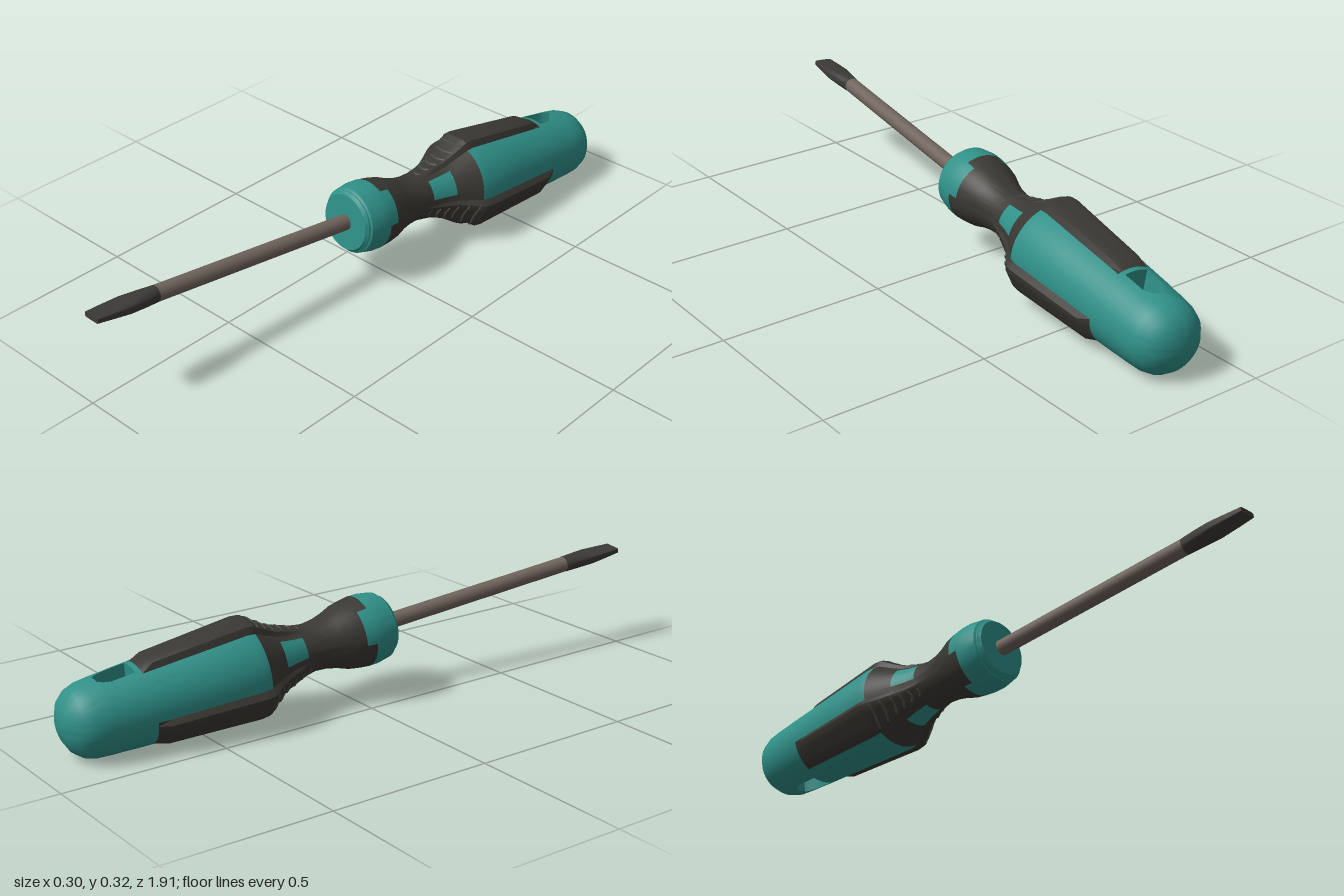
import * as THREE from 'three';
import { toCreasedNormals } from 'three/addons/utils/BufferGeometryUtils.js';

const COLS = 60; // handle columns, 6 degrees each; grip pads sit at columns 0, 20 and 40
const STEP = (Math.PI * 2) / COLS;

const teal = new THREE.MeshStandardMaterial({ color: 0x2f9088 });
const rubber = new THREE.MeshStandardMaterial({ color: 0x3a3833 });
const ribGrey = new THREE.MeshStandardMaterial({ color: 0x4a4943 });
const steel = new THREE.MeshStandardMaterial({ color: 0x70645d });
const darkSteel = new THREE.MeshStandardMaterial({ color: 0x3c3a38 });
const tealInside = new THREE.MeshStandardMaterial({ color: 0x2f9088, side: THREE.DoubleSide });

// Linear lookup in a list of [s, value] pairs running from front to back
function lookup(table, s) {
  if (s >= table[0][0]) return table[0][1];
  for (let i = 1; i < table.length; i++) {
    const [s0, v0] = table[i - 1], [s1, v1] = table[i];
    if (s >= s1) return v0 + ((v1 - v0) * (s - s0)) / (s1 - s0);
  }
  return table[table.length - 1][1];
}

// Skin closed rings of points (front to back), keeping the cells that pass the test
function skin(rings, keep = () => true, crease = 0.5) {
  const pos = [];
  for (let i = 0; i < rings.length - 1; i++) {
    const n = rings[i].length;
    for (let j = 0; j < n; j++) {
      if (!keep(i, j)) continue;
      const k = (j + 1) % n;
      const a = rings[i][j], b = rings[i][k], c = rings[i + 1][k], d = rings[i + 1][j];
      for (const p of [a, d, c, a, c, b]) pos.push(p.x, p.y, p.z);
    }
  }
  const g = new THREE.BufferGeometry();
  g.setAttribute('position', new THREE.Float32BufferAttribute(pos, 3));
  return toCreasedNormals(g, crease);
}

function add(parent, name, geometry, material) {
  const mesh = new THREE.Mesh(geometry, material);
  mesh.name = name;
  parent.add(mesh);
  return mesh;
}

// Handle profile: [position along axis, radius]
const PROFILE = [
  [0.118, 0], [0.118, 0.086], [0.108, 0.093], [0.104, 0.093], [0.1, 0.1], [0.06, 0.107], [0.032, 0.107], [0, 0.103],
  [-0.03, 0.097], [-0.065, 0.084], [-0.1, 0.075], [-0.14, 0.071], [-0.18, 0.074], [-0.22, 0.082],
  [-0.26, 0.094], [-0.3, 0.115], [-0.335, 0.135], [-0.36, 0.139], [-0.5, 0.13], [-0.645, 0.121],
  [-0.68, 0.119], [-0.695, 0.118], [-0.73, 0.116], [-0.765, 0.113], [-0.785, 0.112], [-0.8, 0.111],
  [-0.84, 0.107], [-0.87, 0.097], [-0.895, 0.076], [-0.911, 0.045], [-0.918, 0],
];
// Height of the flat pad faces above the axis
const PAD = [[-0.14, 0], [-0.18, 0.075], [-0.26, 0.102], [-0.3, 0.126], [-0.34, 0.154], [-0.645, 0.132], [-0.68, 0.11]];
const PAD_WEIGHT = [1, 1, 1, 0.75, 0];
// Hanging hole: half-width factor at each station, rounded at the back
const HOLE = [[-0.695, 1], [-0.765, 1], [-0.785, 0.82], [-0.8, 0.45]];
const HOLE_COLS = 3;

// Signed column offset from the nearest multiple of `period`
const offset = (j, period) => j - Math.round(j / period) * period;
const inHole = (s) => s <= -0.69 && s >= -0.801;

// Radius of the three-lobed handle at a station and angle in columns
function radiusAt(s, col) {
  const base = lookup(PROFILE, s);
  if (s > -0.14 || s < -0.68) return base;
  const a = Math.abs(offset(col, 20));
  if (a >= 4) return base;
  const i = Math.floor(a);
  const w = PAD_WEIGHT[i] + (PAD_WEIGHT[i + 1] - PAD_WEIGHT[i]) * (a - i);
  return base + w * Math.max(0, lookup(PAD, s) / Math.cos(a * STEP) - base);
}

function pointAt(s, col, r = radiusAt(s, col)) {
  const t = Math.PI / 2 + col * STEP;
  return new THREE.Vector3(r * Math.cos(t), r * Math.sin(t), s);
}

function buildHandle() {
  const handle = new THREE.Group();
  handle.name = 'handle';
  const stations = PROFILE.map((p) => p[0]);
  const rings = PROFILE.map(([s, r], i) => Array.from({ length: COLS }, (_, j) => {
    // columns beside the hole slide inward to round its rear end
    const h = offset(j, 30);
    const col = inHole(s) && Math.abs(h) <= HOLE_COLS ? j - h + h * lookup(HOLE, s) : j;
    return pointAt(s, col, i < 2 ? r : radiusAt(s, col));
  }));

  const isHole = (i, j) => inHole(stations[i]) && inHole(stations[i + 1]) && Math.abs(offset(j + 0.5, 30)) < HOLE_COLS;
  // Rubber covers the neck, the ring and the three pads
  const isRubber = (i, j) => {
    const s = (stations[i] + stations[i + 1]) / 2;
    const a = Math.abs(offset(j + 0.5, 20));
    if (s > 0.032 || s < -0.68) return false;
    if (s > 0) return a < 5;
    if (s < -0.335) return a < 4;
    return !(s < -0.18 && s > -0.26 && a > 6);
  };
  add(handle, 'handleBody', skin(rings, (i, j) => !isHole(i, j) && !isRubber(i, j)), teal);
  add(handle, 'rubberGrip', skin(rings, isRubber), rubber);

  // Walls of the hanging hole, from the upper rim to the lower rim
  const first = stations.findIndex(inHole);
  const last = stations.length - 1 - [...stations].reverse().findIndex(inHole);
  const rim = [];
  for (let c = -HOLE_COLS; c < HOLE_COLS; c++) rim.push([first, c]);
  for (let i = first; i < last; i++) rim.push([i, HOLE_COLS]);
  for (let c = HOLE_COLS; c > -HOLE_COLS; c--) rim.push([last, c]);
  for (let i = last; i > first; i--) rim.push([i, -HOLE_COLS]);
  const upper = rim.map(([i, c]) => rings[i][(c + COLS) % COLS]);
  const lower = rim.map(([i, c]) => rings[i][30 - c]);
  add(handle, 'hangingHoleWall', skin([upper, lower]), tealInside);

  // Thin curved ribs across the front of each pad
  for (let lobe = 0; lobe < 3; lobe++) {
    for (let n = 0; n < 6; n++) {
      const s = -0.17 - n * 0.029;
      const half = 1.7 + n * 0.28;
      const path = [];
      for (let k = -4; k <= 4; k++) {
        const col = lobe * 20 + (k / 4) * half;
        const z = s - 0.006 * (k / 4) ** 2;
        path.push(pointAt(z, col, radiusAt(z, col) - 0.001));
      }
      add(handle, 'gripRib', new THREE.TubeGeometry(new THREE.CatmullRomCurve3(path), 12, 0.0042, 6), ribGrey);
    }
  }
  return handle;
}

// Flat blade: round sections that flatten towards the end
function buildBlade(parent) {
  // [position, half width, half thickness, squareness exponent]
  const sections = [
    [1.009, 0, 0, 0.3], [1.009, 0.029, 0.008, 0.3], [0.96, 0.033, 0.011, 0.35],
    [0.905, 0.036, 0.016, 0.5], [0.85, 0.03, 0.022, 0.8], [0.805, 0.0245, 0.0245, 1],
  ];
  const bend = (v, p) => Math.sign(v) * Math.abs(v) ** p;
  const rings = sections.map(([s, w, t, p]) => Array.from({ length: 20 }, (_, j) => {
    const a = ((j + 0.5) / 20) * Math.PI * 2;
    return new THREE.Vector3(w * bend(Math.cos(a), p), t * bend(Math.sin(a), p), s);
  }));
  add(parent, 'blade', skin(rings), darkSteel);
}

export function createModel() {
  const model = new THREE.Group();
  model.name = 'screwdriver';

  // Whole tool lies tilted along a slanted axis, rolled slightly
  const tool = new THREE.Group();
  tool.name = 'tool';
  tool.position.set(0.113, 0.209, 0);
  tool.lookAt(0.113 - 0.073, 0.209 + 0.109, 1);
  tool.rotateZ(0.07);
  model.add(tool);

  tool.add(buildHandle());
  const shaft = add(tool, 'shaft', new THREE.CylinderGeometry(0.024, 0.024, 0.71, 20), steel);
  shaft.rotation.x = Math.PI / 2;
  shaft.position.z = 0.455;
  buildBlade(tool);
  return model;
}
